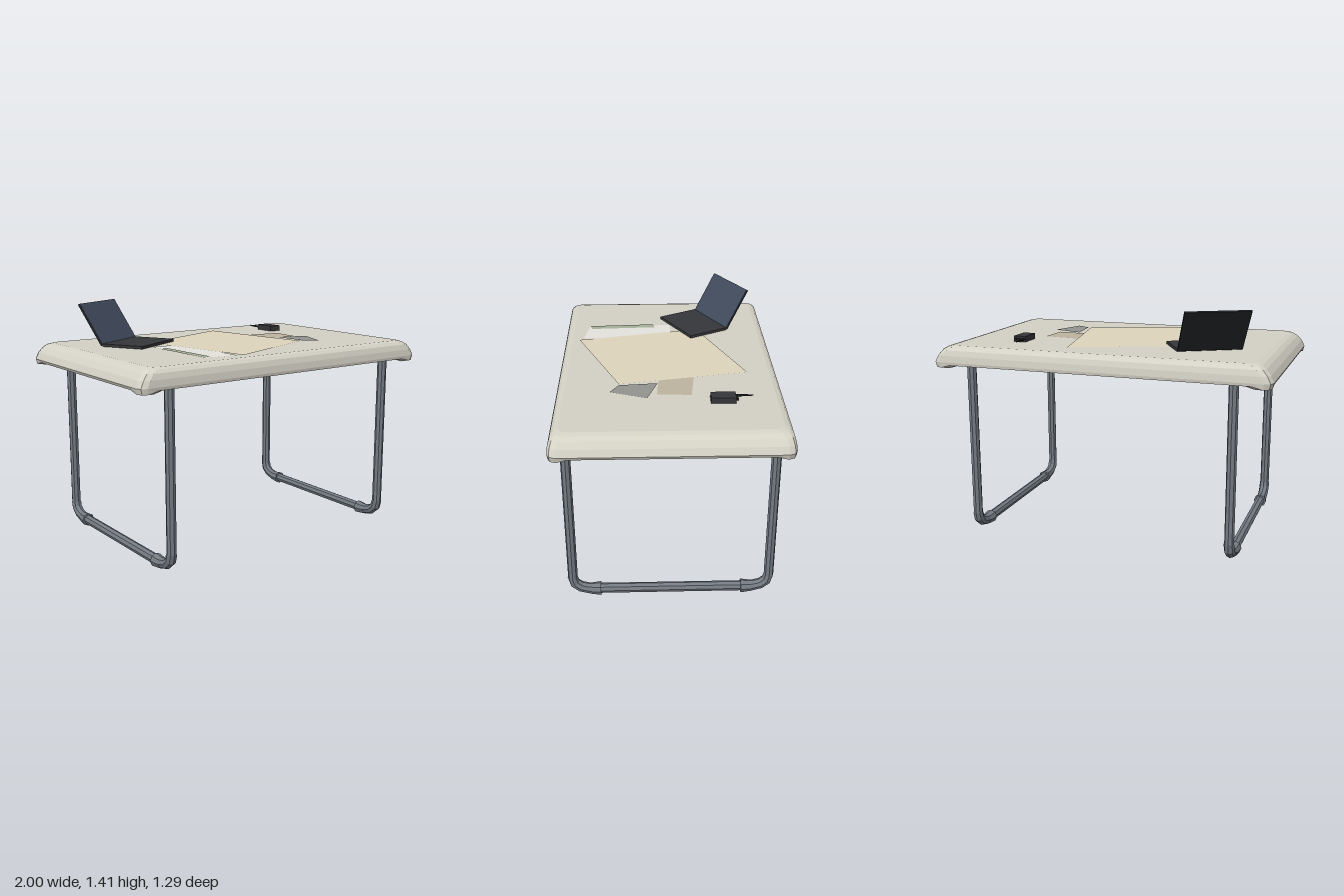
import * as THREE from 'three';

const mat = (color, extra = {}) => new THREE.MeshStandardMaterial({ color, flatShading: true, ...extra });
const beige = mat(0xd4d1c5), steel = mat(0x747b82), dark = mat(0x36373a), black = mat(0x25272b), glass = mat(0x414c5e);
const TOP = 1.157, UNDER = 1.137;

function add(parent, name, geometry, material, x = 0, y = 0, z = 0) {
  const mesh = new THREE.Mesh(geometry, material);
  mesh.name = name;
  mesh.position.set(x, y, z);
  parent.add(mesh);
  return mesh;
}

// One chamfered-rectangle ring; corner points may hang lower than the sides
function ring(insetX, insetZ, y, cornerY = y) {
  const a = 1 - insetX, b = 0.645 - insetZ, c = 0.045, far = 0.1;
  const corner = [[a, y, b - far], [a, cornerY, b - c], [a - c * 0.3, cornerY, b - c * 0.3], [a - c, cornerY, b], [a - far, y, b]];
  const points = [];
  for (const [sx, sz] of [[1, 1], [-1, 1], [-1, -1], [1, -1]]) {
    const list = sx * sz > 0 ? corner : [...corner].reverse();
    for (const [x, h, z] of list) points.push([x * sx, h, z * sz]);
  }
  return points;
}

// Tabletop: thin shell whose rounded edge rolls under and back up to a recessed underside
function tabletopGeometry() {
  const rings = [
    ring(0.1, 0.055, TOP), ring(0.07, 0.03, 1.149), ring(0.045, 0.014, 1.132), ring(0.018, 0.004, 1.1),
    ring(0, 0, 1.062), ring(0.008, 0.003, 1.045, 1.03), ring(0.055, 0.025, 1.042, 1.026),
    ring(0.075, 0.04, 1.06, 1.05), ring(0.1, 0.06, UNDER),
  ];
  const n = rings[0].length, last = rings.length - 1;
  const pos = [...rings.flat(2), 0, TOP, 0, 0, UNDER, 0];
  const index = [];
  for (let i = 0; i < n; i++) {
    const j = (i + 1) % n;
    for (let r = 0; r < last; r++) {
      const u = r * n, l = u + n;
      index.push(u + i, u + j, l + i, u + j, l + j, l + i);
    }
    index.push(j, i, n * (last + 1), last * n + i, last * n + j, n * (last + 1) + 1);
  }
  const g = new THREE.BufferGeometry();
  g.setAttribute('position', new THREE.Float32BufferAttribute(pos, 3));
  g.setIndex(index);
  g.computeVertexNormals();
  return g;
}

// Closed tubular leg loop lying in the y-z plane
function legFrame(x) {
  const frame = new THREE.Group();
  frame.name = 'legFrame';
  frame.position.x = x;
  const v = (y, z) => new THREE.Vector3(0, y, z);
  const elbow = (name, y0, y1, z1, s, radius, material) => {
    const bend = new THREE.QuadraticBezierCurve3(v(y0, s * 0.57), v(y1, s * 0.57), v(y1, s * z1));
    add(frame, name, new THREE.TubeGeometry(bend, 4, radius, 8), material);
  };
  add(frame, 'floorRail', new THREE.CylinderGeometry(0.029, 0.029, 0.88, 8).rotateX(Math.PI / 2), steel, 0, 0.041, 0);
  add(frame, 'topRail', new THREE.CylinderGeometry(0.028, 0.028, 1.0, 8).rotateX(Math.PI / 2), beige, 0, 1.107, 0);
  for (const s of [1, -1]) {
    add(frame, 'upright', new THREE.CylinderGeometry(0.028, 0.028, 0.925, 8), steel, 0, 0.582, s * 0.57);
    elbow('lowerElbow', 0.125, 0.041, 0.44, s, 0.031, steel);
    elbow('upperElbow', 1.04, 1.107, 0.5, s, 0.028, beige);
    const collar = new THREE.CylinderGeometry(0.04, 0.031, 0.07, 8).rotateX(-s * Math.PI / 2);
    add(frame, 'collar', collar, steel, 0, 0.04, s * 0.443);
  }
  return frame;
}

// Flat sheet from x,z corners, lifted slightly above the tabletop
function sheet(parent, name, corners, color, lift) {
  const shape = new THREE.Shape(corners.map(([x, z]) => new THREE.Vector2(x, -z)));
  add(parent, name, new THREE.ShapeGeometry(shape).rotateX(-Math.PI / 2), mat(color, { side: THREE.DoubleSide }), 0, TOP + lift, 0);
}

function laptop() {
  const g = new THREE.Group();
  g.name = 'laptop';
  g.position.set(-0.583, TOP, -0.3);
  g.rotation.y = 0.505;
  add(g, 'laptopBase', new THREE.BoxGeometry(0.38, 0.016, 0.268), dark, 0, 0.012, 0.134);
  const lid = new THREE.Group();
  lid.name = 'laptopLid';
  lid.position.y = 0.014;
  lid.rotation.x = -0.575;
  add(lid, 'lidShell', new THREE.BoxGeometry(0.38, 0.28, 0.012), black, 0, 0.14, -0.007);
  add(lid, 'screen', new THREE.BoxGeometry(0.378, 0.276, 0.002), glass, 0, 0.14, 0);
  g.add(lid);
  return g;
}

function radio() {
  const g = new THREE.Group();
  g.name = 'radio';
  g.position.set(0.569, TOP + 0.018, -0.291);
  add(g, 'radioBody', new THREE.BoxGeometry(0.076, 0.034, 0.138), dark);
  add(g, 'antenna', new THREE.CylinderGeometry(0.004, 0.008, 0.1, 6).rotateX(-Math.PI / 2), black, -0.026, 0, -0.117);
  for (const x of [0, 0.022]) {
    add(g, 'knob', new THREE.CylinderGeometry(0.008, 0.008, 0.016, 6).rotateX(Math.PI / 2), black, x, 0, -0.075);
  }
  return g;
}

export function createModel() {
  const model = new THREE.Group();
  model.name = 'desk';
  add(model, 'tabletop', tabletopGeometry(), beige);
  for (const s of [1, -1]) model.add(legFrame(s * 0.782));

  // Papers spread over the top
  sheet(model, 'whitePaper', [[-0.515, -0.03], [-0.31, -0.03], [-0.305, 0.52], [-0.505, 0.49]], 0xe4e3dc, 0.002);
  sheet(model, 'brownCard', [[0.27, -0.146], [0.5, -0.122], [0.49, 0.07], [0.29, 0.058]], 0xbdb3a0, 0.002);
  sheet(model, 'largeMap', [[0.22, -0.46], [0.36, 0.285], [-0.28, 0.545], [-0.43, -0.2]], 0xded5bd, 0.004);
  sheet(model, 'greenStrip', [[-0.525, 0.08], [-0.475, 0.07], [-0.457, 0.475], [-0.505, 0.485]], 0xa6b099, 0.004);
  sheet(model, 'greyCard', [[0.355, 0.065], [0.54, 0.125], [0.46, 0.335], [0.375, 0.285]], 0x93948f, 0.005);

  model.add(laptop(), radio());
  return model;
}
